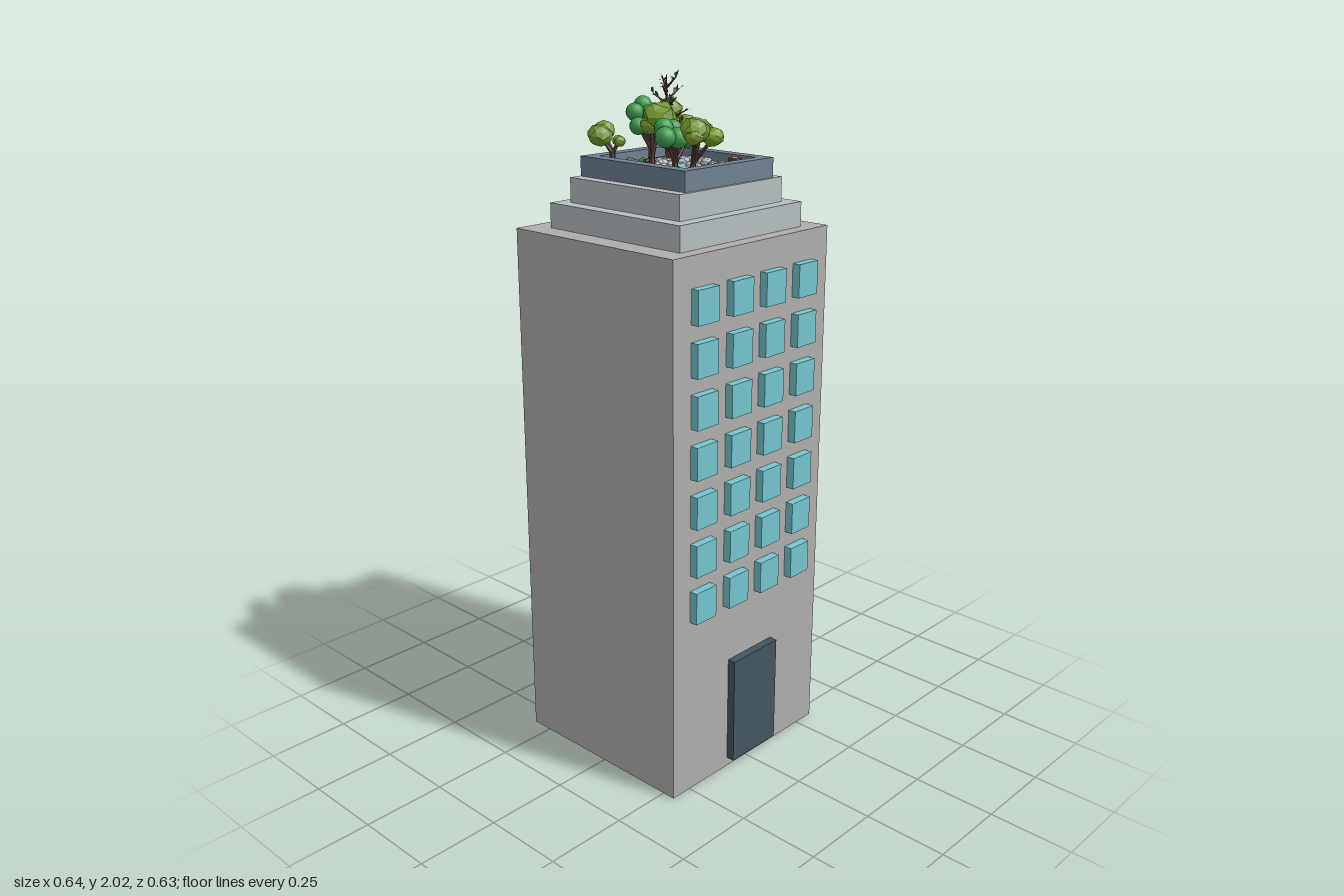
import * as THREE from 'three';
import { mergeGeometries } from 'three/addons/utils/BufferGeometryUtils.js';

const C = {
  wall: 0xb0aeac, tier: 0xb5bfc0, planter: 0x708090, glass: 0x75c4ce, door: 0x445560,
  grass: 0x7fa845, olive: 0x76992f, green: 0x3f9b50, bark: 0x5a3f35, leaf: 0x4c6424,
  rock: 0xb9bdc4, water: 0x74c6d6, foam: 0xf2f6f8, flower: 0xa8324e, wood: 0xd9b077,
};
const GROUND = 1.757;

const mats = {};
function mat(color, flat = true, side = THREE.FrontSide) {
  const key = `${color}-${flat}-${side}`;
  return mats[key] ??= new THREE.MeshStandardMaterial({ color, flatShading: flat, side });
}

let seed = 7;
const rnd = (a = 0, b = 1) => {
  seed = (seed * 16807) % 2147483647;
  return a + (b - a) * seed / 2147483647;
};

function add(parent, name, geo, material, x = 0, y = 0, z = 0) {
  const m = new THREE.Mesh(geo, material);
  m.name = name;
  m.position.set(x, y, z);
  parent.add(m);
  return m;
}

// box given by its limits
function box(parent, name, color, x0, x1, y0, y1, z0, z1) {
  return add(parent, name, new THREE.BoxGeometry(x1 - x0, y1 - y0, z1 - z0), mat(color),
    (x0 + x1) / 2, (y0 + y1) / 2, (z0 + z1) / 2);
}

// faceted lump: each corner is pushed in or out by a rule on its direction
function lump(r, detail = 1, rough = 0.15, k = 0) {
  const g = new THREE.IcosahedronGeometry(1, detail);
  const p = g.attributes.position, v = new THREE.Vector3();
  for (let i = 0; i < p.count; i++) {
    v.fromBufferAttribute(p, i);
    const s = 1 + rough * Math.sin(v.x * 7 + k) * Math.cos(v.y * 5 + v.z * 6 + k * 2);
    p.setXYZ(i, v.x * r * s, v.y * r * s, v.z * r * s);
  }
  g.computeVertexNormals();
  return g;
}

// tapered branch between two points
function branch(a, b, r0, r1) {
  const A = new THREE.Vector3(...a), B = new THREE.Vector3(...b), d = B.clone().sub(A);
  const g = new THREE.CylinderGeometry(r1, r0, d.length(), 6);
  g.applyQuaternion(new THREE.Quaternion().setFromUnitVectors(new THREE.Vector3(0, 1, 0), d.normalize()));
  const c = A.add(B).multiplyScalar(0.5);
  return g.translate(c.x, c.y, c.z);
}

// tree: trunk, then a limb to each crown blob [x, y, z, radius]
function tree(parent, name, foot, blobs, round) {
  const g = new THREE.Group();
  g.name = name;
  parent.add(g);
  const fork = [foot[0], GROUND + 0.035, foot[1]];
  const wood = [branch([foot[0], GROUND - 0.005, foot[1]], fork, 0.011, 0.008)];
  blobs.forEach(([x, y, z, r], i) => {
    wood.push(branch(fork, [x, y, z], 0.007, 0.004));
    const geo = round ? new THREE.SphereGeometry(r, 14, 10) : lump(r, 1, 0.13, i * 1.7 + x * 30);
    const m = add(g, 'foliage', geo, mat(round ? C.green : C.olive, !round), x, y, z);
    if (!round) m.scale.y = 0.85;
  });
  add(g, 'trunk', mergeGeometries(wood), mat(C.bark));
}

function leafGeometry(size) {
  const s = new THREE.Shape();
  s.moveTo(0, 0);
  s.quadraticCurveTo(size * 0.5, size * 0.5, 0, size);
  s.quadraticCurveTo(-size * 0.5, size * 0.5, 0, 0);
  return new THREE.ShapeGeometry(s, 3);
}

// tall sparse tree with twigs and loose leaves
function sparseTree(parent) {
  const g = new THREE.Group();
  g.name = 'sparseTree';
  parent.add(g);
  const wood = [], leaves = [];
  const path = [[0.055, GROUND, -0.075], [0.045, 1.82, -0.08], [0.035, 1.89, -0.07], [0.045, 2.0, -0.08]];
  for (let i = 0; i < 3; i++) wood.push(branch(path[i], path[i + 1], 0.012 - i * 0.0035, 0.0085 - i * 0.0035));
  for (let i = 0; i < 12; i++) {
    const a = i * 2.4, y = 1.84 + i * 0.0115, len = 0.062 - i * 0.003;
    const tip = [0.042 + Math.cos(a) * len, y + 0.03, -0.075 + Math.sin(a) * len];
    wood.push(branch([0.042, y, -0.075], tip, 0.004, 0.0015));
    for (let k = 0; k < 6; k++) {
      const l = leafGeometry(0.018), t = rnd(0.5, 1.05);
      l.rotateX(rnd(-1.6, 1.6)).rotateY(rnd(0, 6.28));
      leaves.push(l.translate(0.042 + Math.cos(a) * len * t, y + 0.03 * t, -0.075 + Math.sin(a) * len * t));
    }
  }
  add(g, 'branches', mergeGeometries(wood), mat(C.bark));
  add(g, 'leaves', mergeGeometries(leaves), mat(C.leaf, true, THREE.DoubleSide));
}

// radial tuft of leaves, used for flowers and weeds
function tuft(parent, name, color, n, size, x, z) {
  const parts = [];
  for (let i = 0; i < n; i++) {
    parts.push(leafGeometry(size).rotateX(1.1).rotateY(i / n * Math.PI * 2));
  }
  add(parent, name, mergeGeometries(parts), mat(color, true, THREE.DoubleSide), x, GROUND + 0.008, z);
}

function rectPath(P, x0, x1, y0, y1) {
  const p = new P();
  p.moveTo(x0, y0);
  p.lineTo(x1, y0);
  p.lineTo(x1, y1);
  p.lineTo(x0, y1);
  p.closePath();
  return p;
}

function buildGarden() {
  const g = new THREE.Group();
  g.name = 'roofGarden';

  // planter walls and lawn
  const rim = rectPath(THREE.Shape, -0.175, 0.178, -0.201, 0.201);
  rim.holes.push(rectPath(THREE.Path, -0.137, 0.143, -0.166, 0.165));
  const rimGeo = new THREE.ExtrudeGeometry(rim, { depth: 0.057, bevelEnabled: false }).rotateX(-Math.PI / 2);
  add(g, 'planterWalls', rimGeo, mat(C.planter), 0, 1.73, 0).rotation.y = -0.012;
  box(g, 'lawn', C.grass, -0.14, 0.146, 1.731, GROUND, -0.168, 0.169);
  box(g, 'hedgeStrip', C.green, -0.136, -0.03, GROUND, GROUND + 0.004, -0.116, -0.107);
  for (const [x, z, r] of [[-0.02, -0.11, 0.036], [0.107, -0.048, 0.03]]) {
    add(g, 'shrub', new THREE.ConeGeometry(r, 0.02, 6), mat(C.green), x, GROUND + 0.01, z);
  }

  // pond with ripples and a ring of rocks
  const pond = add(g, 'pond', new THREE.CylinderGeometry(0.06, 0.06, 0.006, 24), mat(C.water), -0.002, GROUND + 0.003, 0.042);
  pond.scale.z = 1.12;
  for (const [r, start, len] of [[0.048, 0.2, 2.2], [0.05, 3.2, 1.8], [0.034, 5, 1.6]]) {
    const ring = new THREE.RingGeometry(r - 0.003, r + 0.003, 20, 1, start, len).rotateX(-Math.PI / 2);
    add(g, 'ripple', ring, mat(C.foam, true, THREE.DoubleSide), -0.002, GROUND + 0.0075, 0.042);
  }
  for (let i = 0; i < 26; i++) {
    const a = -2.1 + i / 26 * 4.6, d = 0.068 + (i % 3) * 0.012, r = rnd(0.011, 0.02);
    const rock = add(g, 'rock', lump(r, 1, 0.22, i), mat(C.rock),
      0.004 + Math.cos(a) * d, GROUND + r * 0.45, 0.046 + Math.sin(a) * d * 1.08);
    rock.scale.y = 0.85;
  }
  for (const [x, z] of [[0.008, 0.042], [-0.07, 0.075], [-0.04, -0.03], [0.02, 0.13]]) {
    add(g, 'smallRock', lump(0.011, 1, 0.2, x * 50), mat(C.rock), x, GROUND + 0.008, z);
  }

  // fallen logs and cut stump
  add(g, 'log', branch([-0.105, GROUND + 0.025, -0.088], [-0.075, GROUND + 0.008, -0.05], 0.008, 0.01), mat(C.bark));
  add(g, 'log', branch([-0.05, GROUND + 0.015, -0.075], [0.03, GROUND + 0.015, -0.07], 0.006, 0.007), mat(C.bark));
  add(g, 'stump', new THREE.CylinderGeometry(0.018, 0.024, 0.028, 9), mat(C.bark), 0.1, GROUND + 0.014, 0.128);
  add(g, 'stumpTop', new THREE.CylinderGeometry(0.014, 0.014, 0.003, 12), mat(C.wood), 0.1, GROUND + 0.029, 0.128);

  // flowers and weeds
  for (const [x, z] of [[-0.105, -0.035], [-0.105, -0.012], [0, 0.0], [-0.015, 0.088], [0.118, 0.103], [-0.095, 0.13], [0.103, -0.045]]) {
    tuft(g, 'flower', C.flower, 5, 0.009, x, z);
  }
  for (const [x, z] of [[0.113, 0.004], [0.07, 0.11], [-0.07, -0.085], [0.085, -0.015], [0.03, 0.15], [-0.01, 0.165]]) {
    tuft(g, 'weed', C.leaf, 6, 0.013, x, z);
  }

  // trees
  tree(g, 'backLeftTree', [-0.1, -0.15], [[-0.115, 1.84, -0.182, 0.036], [-0.085, 1.848, -0.2, 0.032],
    [-0.088, 1.825, -0.136, 0.019]]);
  tree(g, 'backRoundTree', [0.04, -0.135], [[0.006, 1.895, -0.167, 0.026], [0.042, 1.912, -0.17, 0.026],
    [0.083, 1.89, -0.167, 0.026], [-0.01, 1.86, -0.138, 0.025], [0.04, 1.89, -0.145, 0.024]], true);
  tree(g, 'rightTree', [0.09, -0.09], [[0.096, 1.9, -0.115, 0.037], [0.13, 1.855, -0.09, 0.034],
    [0.075, 1.865, -0.125, 0.026]]);
  tree(g, 'middleTree', [-0.085, -0.01], [[-0.068, 1.902, 0.004, 0.047], [-0.085, 1.88, -0.012, 0.032]]);
  tree(g, 'leftRoundTree', [-0.11, 0.1], [[-0.167, 1.865, 0.118, 0.028], [-0.143, 1.885, 0.09, 0.026],
    [-0.105, 1.88, 0.088, 0.024], [-0.068, 1.85, 0.105, 0.024], [-0.125, 1.86, 0.125, 0.028]], true);
  tree(g, 'frontLeftTree', [-0.1, 0.155], [[-0.12, 1.885, 0.182, 0.04], [-0.082, 1.865, 0.21, 0.029],
    [-0.138, 1.87, 0.195, 0.026], [-0.09, 1.885, 0.178, 0.03]]);
  sparseTree(g);
  return g;
}

export function createModel() {
  const model = new THREE.Group();
  model.name = 'towerWithRoofGarden';

  // tower and stepped roof
  box(model, 'tower', C.wall, -0.318, 0.318, 0, 1.59, -0.316, 0.29);
  box(model, 'lowerRoofStep', C.tier, -0.249, 0.249, 1.59, 1.661, -0.249, 0.248);
  box(model, 'upperRoofStep', C.tier, -0.208, 0.208, 1.661, 1.731, -0.209, 0.209);

  // door and window grid
  box(model, 'door', C.door, -0.084, 0.107, 0.027, 0.36, 0.28, 0.315);
  for (let row = 0; row < 7; row++) {
    for (const x of [-0.209, -0.07, 0.067, 0.207]) {
      const y = 0.593 + row * 0.1437;
      box(model, 'window', C.glass, x - 0.041, x + 0.041, y - 0.048, y + 0.048, 0.28, 0.315);
    }
  }

  model.add(buildGarden());
  return model;
}
